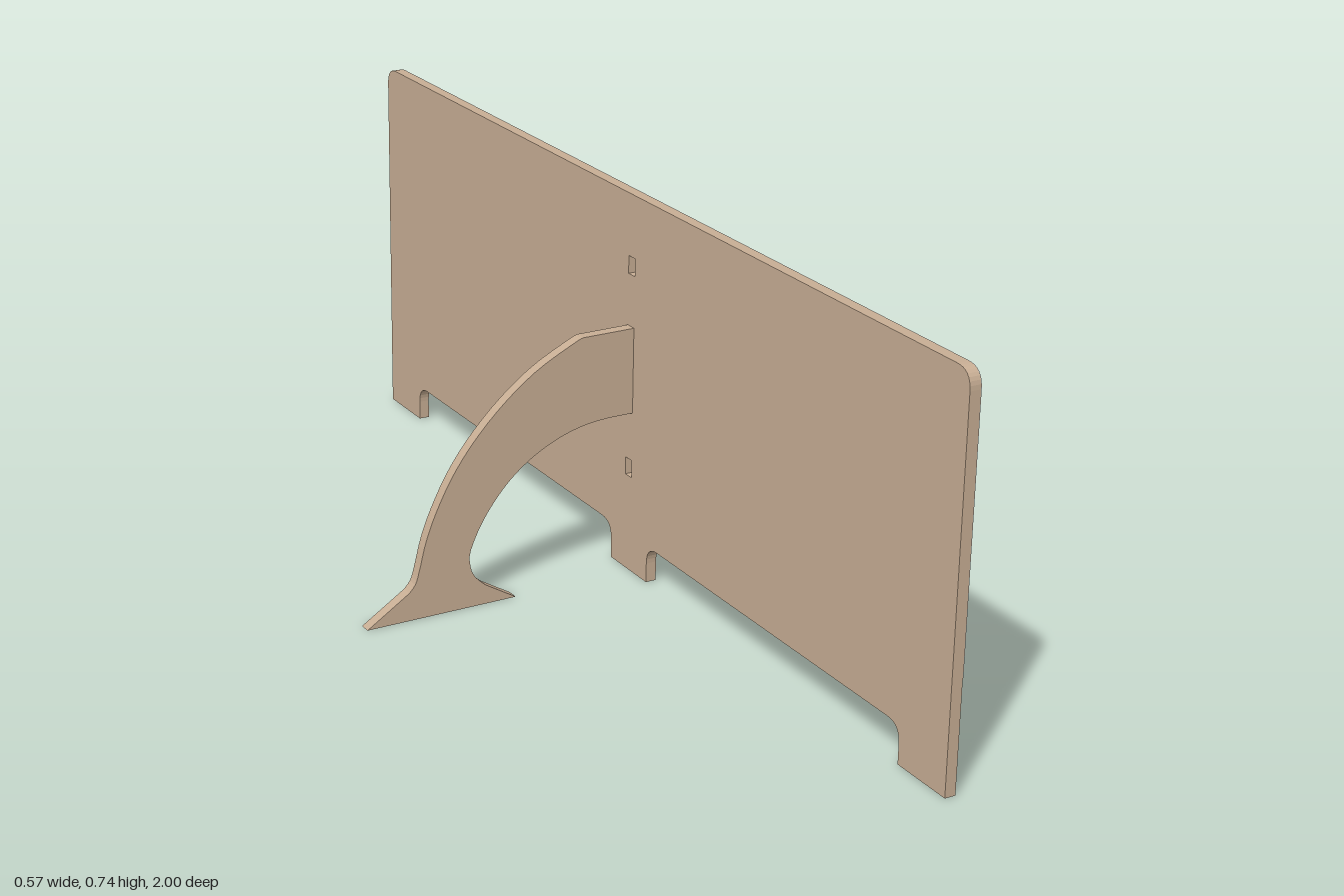
import * as THREE from 'three';

const wood = new THREE.MeshStandardMaterial({ color: 0xc8ae94 });
wood.name = 'plywood';
const white = new THREE.MeshStandardMaterial({ color: 0xc8c8c8 });
white.name = 'white paint';
const red = new THREE.MeshStandardMaterial({ color: 0xa82020 });
red.name = 'red paint';

const TOP = 0.735, R = 0.035;        // board height and corner radius
const BACK = 0.262, FRONT = 0.284;   // board faces along x
const PAINT = 0.21;                  // lower edge of the painted area

// Extrudes a shape drawn in (-z, y) along +x between x0 and x1
function slab(name, shape, x0, x1, material) {
  const geo = new THREE.ExtrudeGeometry(shape, { depth: x1 - x0, bevelEnabled: false, curveSegments: 8 });
  geo.rotateY(Math.PI / 2).translate(x0, 0, 0);
  const mesh = new THREE.Mesh(geo, material);
  mesh.name = name;
  return mesh;
}

// Rounded upper corners, closing the outline from right to left
function roundedTop(s) {
  s.lineTo(1, TOP - R);
  s.quadraticCurveTo(1, TOP, 1 - R, TOP);
  s.lineTo(-1 + R, TOP);
  s.quadraticCurveTo(-1, TOP, -1, TOP - R);
  s.closePath();
  return s;
}

// Board outline with two notches that leave three feet
function boardShape() {
  const s = new THREE.Shape();
  const h = 0.073;
  s.moveTo(-1, 0);
  for (const [a, b] of [[-0.87, -0.065], [0.065, 0.87]]) {
    s.lineTo(a, 0);
    s.lineTo(a, h - R);
    s.quadraticCurveTo(a, h, a + R, h);
    s.lineTo(b - R, h);
    s.quadraticCurveTo(b, h, b, h - R);
    s.lineTo(b, 0);
  }
  s.lineTo(1, 0);
  return roundedTop(s);
}

export function createModel() {
  const group = new THREE.Group();
  group.name = 'chevronBarrier';

  // Board: solid front layer, back layer with two blind slots
  const backShape = boardShape();
  for (const y of [0.6, 0.206]) {
    const slot = new THREE.Path();
    slot.moveTo(-0.006, y - 0.017);
    slot.lineTo(-0.006, y + 0.017);
    slot.lineTo(0.016, y + 0.017);
    slot.lineTo(0.016, y - 0.017);
    slot.closePath();
    backShape.holes.push(slot);
  }
  group.add(slab('boardBack', backShape, BACK, 0.277, wood));
  group.add(slab('boardFront', boardShape(), 0.277, FRONT - 0.001, wood));

  // White painted panel
  const panel = new THREE.Shape();
  panel.moveTo(-1, PAINT);
  panel.lineTo(1, PAINT);
  group.add(slab('whitePanel', roundedTop(panel), FRONT - 0.001, FRONT, white));

  // Red chevrons pointing towards +z
  const mid = (TOP + PAINT) / 2;
  for (let i = 0; i < 3; i++) {
    const u = -0.998 + i * 0.668;
    const end = Math.min(u + 0.648, 0.974);
    const chevron = new THREE.Shape([
      [u, mid], [u + 0.332, PAINT], [end, PAINT], [u + 0.332, mid], [end, TOP - 0.001], [u + 0.332, TOP - 0.001],
    ].map(([x, y]) => new THREE.Vector2(x, y)));
    group.add(slab('redChevron' + (i + 1), chevron, FRONT, FRONT + 0.001, red));
  }

  // Curved rear support with a splayed foot
  const vecs = pts => pts.map(([x, y]) => new THREE.Vector2(x, y));
  const leg = new THREE.Shape();
  leg.moveTo(-0.285, 0);
  leg.lineTo(-0.2, 0.055);
  leg.splineThru(vecs([[-0.187, 0.071], [-0.178, 0.1], [-0.165, 0.15], [-0.143, 0.205], [-0.108, 0.27],
    [-0.06, 0.333], [0, 0.392], [0.065, 0.44], [0.14, 0.478], [0.157, 0.484]]));
  leg.lineTo(BACK, 0.484);
  leg.lineTo(BACK, 0.318);
  leg.lineTo(0.21, 0.318);
  leg.splineThru(vecs([[0.16, 0.313], [0.105, 0.297], [0.05, 0.269], [0, 0.229], [-0.045, 0.173],
    [-0.074, 0.115], [-0.076, 0.085], [-0.067, 0.06], [-0.045, 0.038]]));
  leg.lineTo(0.018, 0);
  leg.closePath();
  const legGeo = new THREE.ExtrudeGeometry(leg, { depth: 0.022, bevelEnabled: false, curveSegments: 3 });
  legGeo.translate(0, 0, -0.016);
  const support = new THREE.Mesh(legGeo, wood);
  support.name = 'rearSupport';
  group.add(support);

  return group;
}
